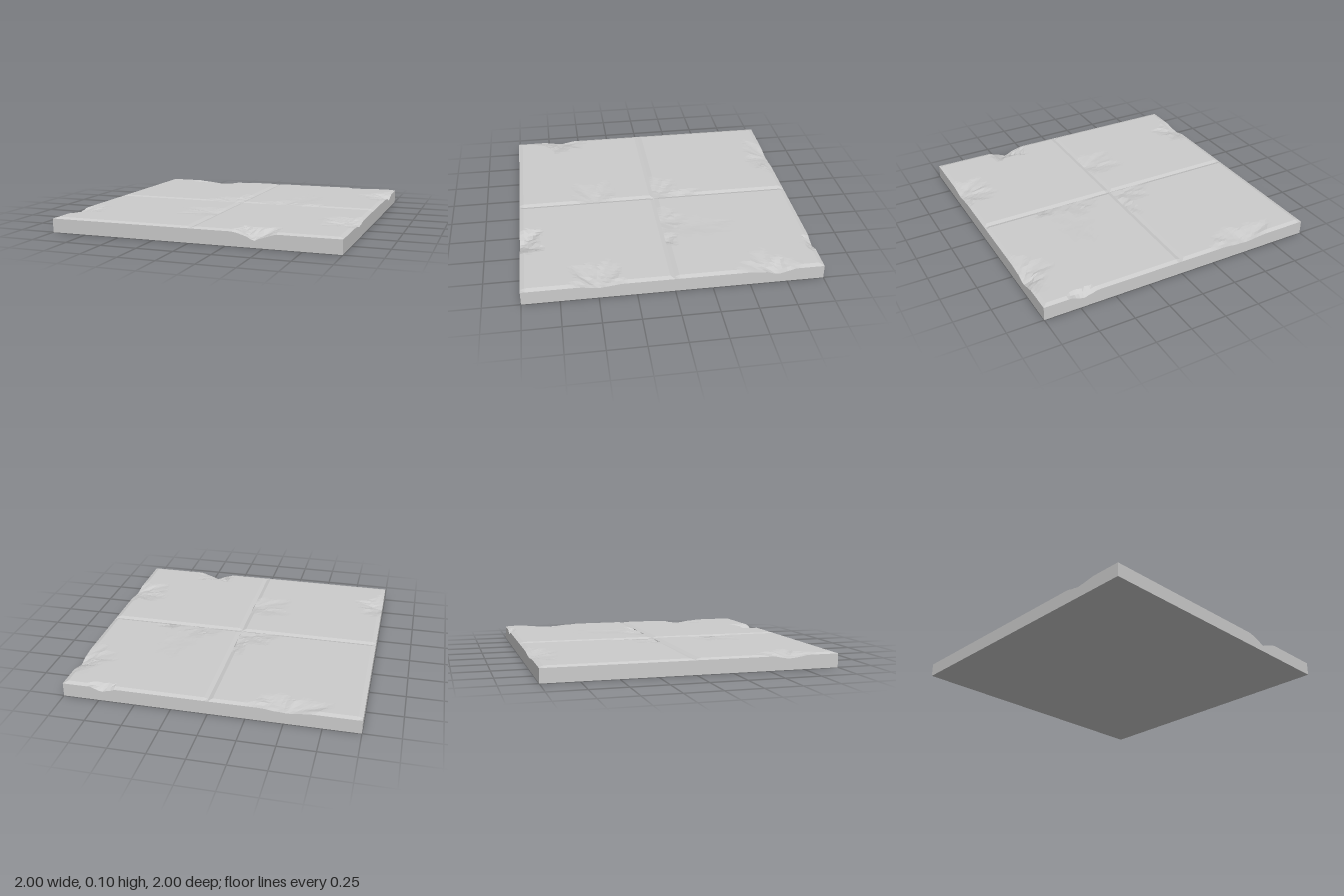
import * as THREE from 'three';

const TOP = 0.105, RIM = 0.095, BEVEL = 0.03, CELLS = 36;

// Broken spots: tile side x, tile side z, centre x, centre z, radius x, radius z, depth
const CHIPS = [
  [1, 1, 0.44, 1, 0.19, 0.17, 0.055],
  [1, 1, 1, 0.5, 0.27, 0.21, 0.03],
  [1, -1, 1, -0.68, 0.12, 0.16, 0.05],
  [1, -1, 1, -0.62, 0.22, 0.2, 0.022],
  [-1, 1, -1, 0.64, 0.2, 0.19, 0.03],
  [-1, -1, -0.52, -1, 0.3, 0.18, 0.026],
  [1, -1, 0.73, -1, 0.12, 0.06, 0.045],
  [-1, -1, -0.07, -0.03, 0.26, 0.17, 0.02],
  [-1, -1, 0, -0.2, 0.09, 0.19, 0.02],
  [1, -1, 0.32, 0, 0.18, 0.19, 0.016],
  [1, -1, 0.42, -0.25, 0.12, 0.26, 0.004],
  [1, -1, 0.55, 0, 0.1, 0.09, 0.022],
  [-1, 1, 0, 0.44, 0.3, 0.2, 0.018],
];

// Repeatable value in 0..1 for a position
function hash(x, z) {
  const s = Math.sin(x * 127.1 + z * 311.7) * 43758.5453;
  return s - Math.floor(s);
}

// Top height: bevelled rim, lowered by faceted chips with ragged outlines
function topHeight(x, z, sx, sz, edge) {
  let y = edge < BEVEL ? RIM + (TOP - RIM) * (edge / BEVEL) : TOP;
  CHIPS.forEach(([tx, tz, cx, cz, rx, rz, depth], i) => {
    if (tx !== sx || tz !== sz) return;
    const dx = (x - cx) / rx, dz = (z - cz) / rz;
    const a = Math.atan2(dz, dx);
    const ragged = 0.9 + 0.16 * Math.sin(5 * a + i * 1.7) + 0.1 * Math.sin(11 * a + i);
    const r = Math.hypot(dx, dz) / ragged;
    if (r >= 1) return;
    const rough = 0.85 + 0.3 * hash(Math.round(x * 14), Math.round(z * 14) + i);
    y = Math.min(y, TOP - depth * (1 - r) * rough);
  });
  return y;
}

// Maps an even grid index to a tile coordinate, with one row exactly on each bevel line
function gridLine(i) {
  if (i === 0) return -0.5;
  if (i === CELLS) return 0.5;
  return -0.5 + BEVEL + ((i - 1) / (CELLS - 2)) * (1 - 2 * BEVEL);
}

function makeTile(sx, sz, material) {
  const box = new THREE.BoxGeometry(1, 1, 1, CELLS, 1, CELLS);
  const p = box.attributes.position;
  for (let k = 0; k < p.count; k++) {
    const i = Math.round((p.getX(k) + 0.5) * CELLS);
    const j = Math.round((p.getZ(k) + 0.5) * CELLS);
    let u = gridLine(i), v = gridLine(j);
    // Uneven facets away from the bevel
    if (i > 1 && j > 1 && i < CELLS - 1 && j < CELLS - 1) {
      u += (hash(i, j) - 0.5) * 0.016;
      v += (hash(j + 50, i) - 0.5) * 0.016;
    }
    const x = u + sx * 0.5, z = v + sz * 0.5;
    const edge = 0.5 - Math.max(Math.abs(u), Math.abs(v));
    p.setXYZ(k, x, p.getY(k) > 0 ? topHeight(x, z, sx, sz, edge) : 0, z);
  }
  const geometry = box.toNonIndexed();
  geometry.computeVertexNormals();
  return new THREE.Mesh(geometry, material);
}

export function createModel() {
  const group = new THREE.Group();
  group.name = 'brokenFloorSlab';
  const stone = new THREE.MeshStandardMaterial({ color: 0xcccccc, flatShading: true });
  // Four tiles meeting in a cross-shaped groove
  for (const sx of [1, -1]) {
    for (const sz of [1, -1]) {
      const tile = makeTile(sx, sz, stone);
      tile.name = (sz > 0 ? 'front' : 'back') + (sx > 0 ? 'Left' : 'Right') + 'Tile';
      group.add(tile);
    }
  }
  return group;
}
